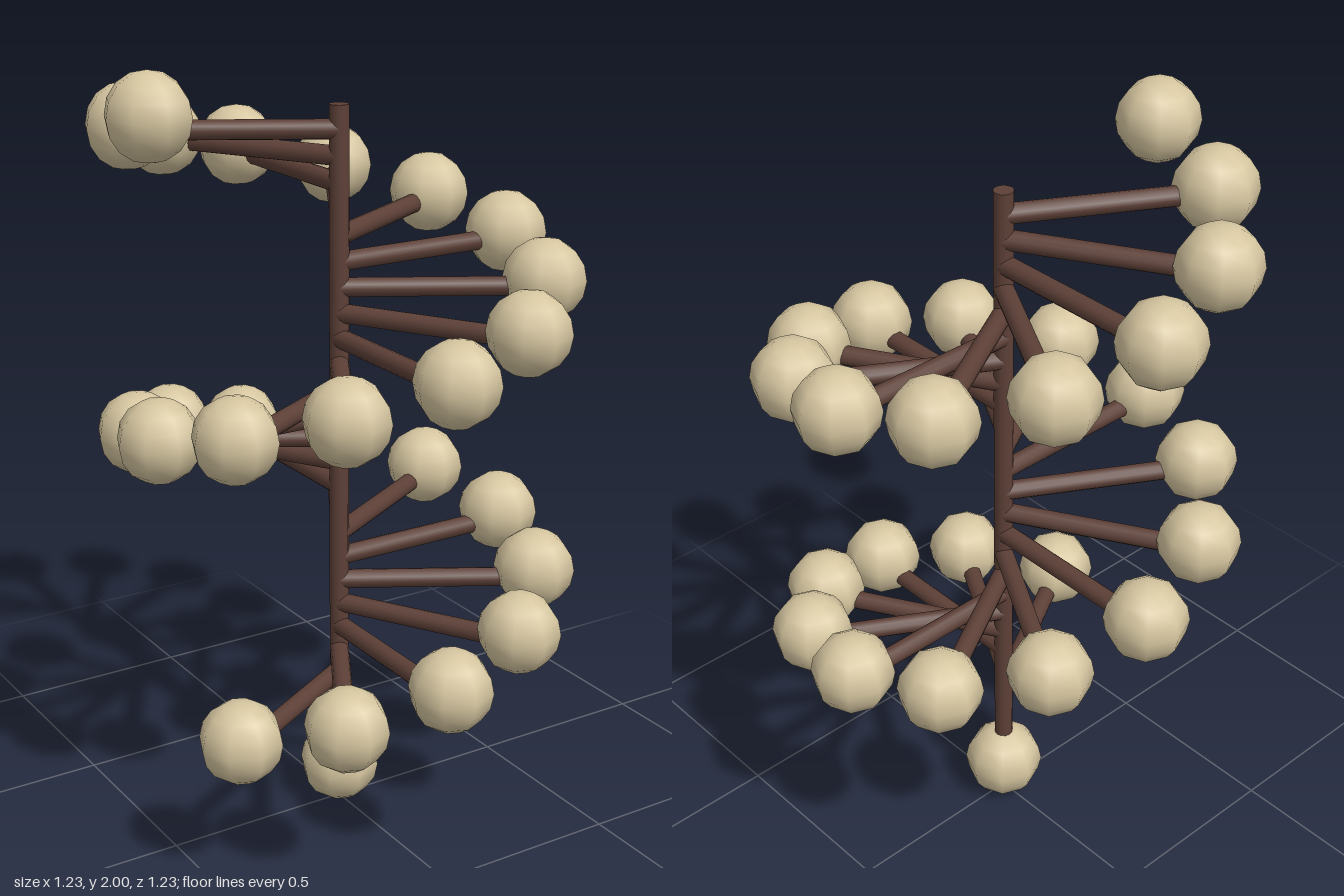
import * as THREE from 'three';

const BALL_RADIUS = 0.106;
const ROD_RADIUS = 0.025;
const ARM_REACH = 0.51;
const STEPS = 24;

export function createModel() {
  const model = new THREE.Group();
  model.name = 'spiralStand';

  const wood = new THREE.MeshStandardMaterial({ color: 0x5d4037 });
  wood.name = 'dark brown';
  const cream = new THREE.MeshStandardMaterial({ color: 0xd6c6a0 });
  cream.name = 'cream';

  const ballGeometry = new THREE.SphereGeometry(BALL_RADIUS, 8, 8);
  // Rod lying along +x, starting at the axis
  const rodGeometry = new THREE.CylinderGeometry(ROD_RADIUS, ROD_RADIUS, 0.49, 12);
  rodGeometry.rotateZ(-Math.PI / 2).translate(0.245, 0, 0);

  const add = (name, geometry, material, x, y, z) => {
    const mesh = new THREE.Mesh(geometry, material);
    mesh.name = name;
    mesh.position.set(x, y, z);
    model.add(mesh);
    return mesh;
  };

  // Central pole and the ball at its foot
  const poleBottom = 0.1, poleTop = 1.88;
  const poleGeometry = new THREE.CylinderGeometry(ROD_RADIUS, ROD_RADIUS, poleTop - poleBottom, 12);
  add('pole', poleGeometry, wood, 0, (poleTop + poleBottom) / 2, 0);
  add('footBall', ballGeometry, cream, 0, BALL_RADIUS, 0);

  // Two-turn spiral of arms and balls; the topmost ball has no arm
  for (let k = 0; k < STEPS; k++) {
    const angle = (k - 5) * Math.PI / 6;
    add('spiralBall', ballGeometry, cream,
      ARM_REACH * Math.cos(angle), 0.405 + k * 0.0648, -ARM_REACH * Math.sin(angle));
    if (k < STEPS - 1) {
      add('arm', rodGeometry, wood, 0, 0.378 + k * 0.0655, 0).rotation.y = angle;
    }
  }
  return model;
}
